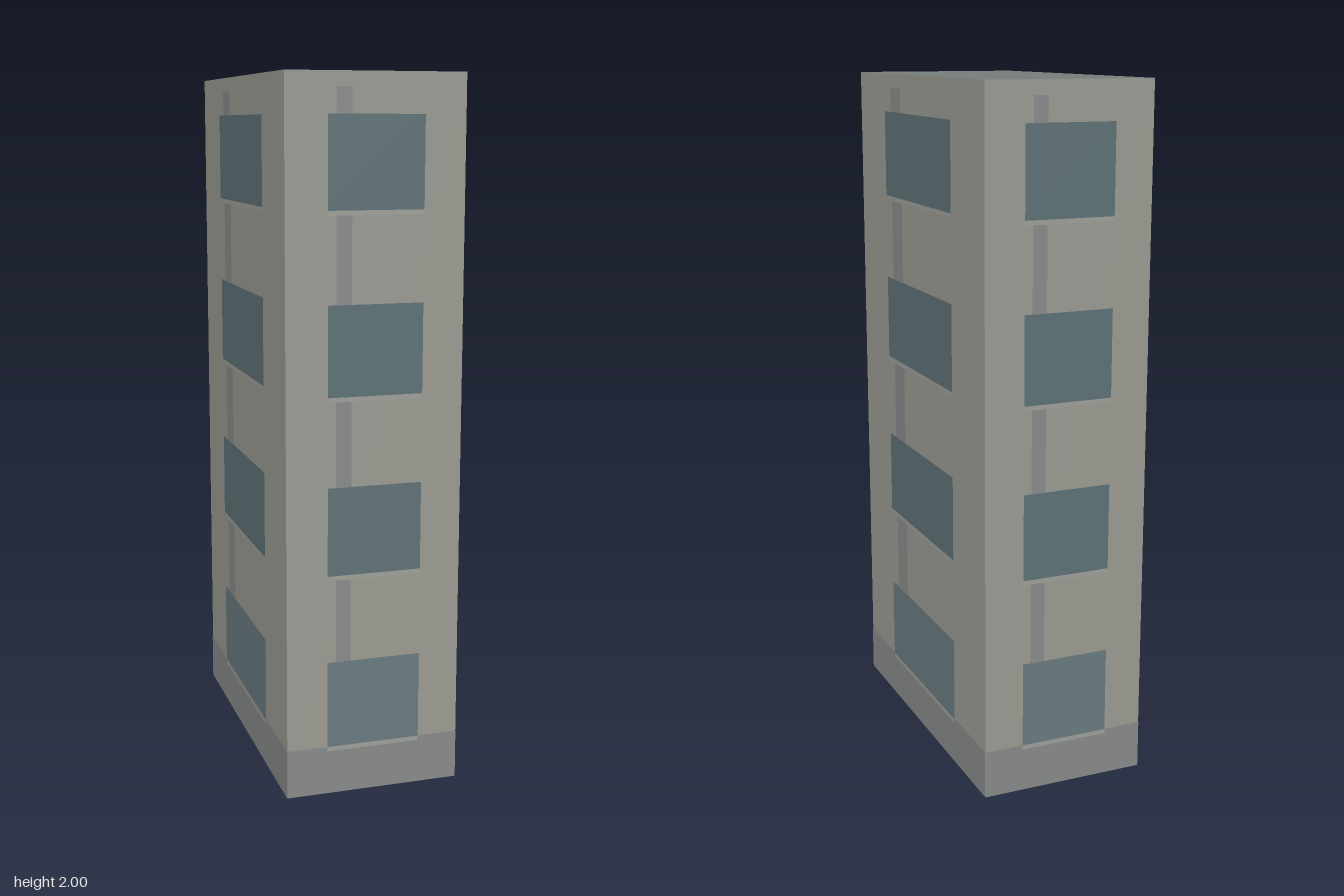
import * as THREE from 'three';

// slightly skewed footprint, [x, z], counter-clockwise from the front-left of the picture plane
const CORNERS = [[-0.25, 0.497], [0.255, 0.488], [0.233, -0.499], [-0.257, -0.49]];
const HEIGHT = 2, FLOORS = 4, FLOOR_HEIGHT = 0.5;

const paint = (color, side = THREE.FrontSide) =>
  new THREE.MeshStandardMaterial({ color, side, flatShading: true });

// four-cornered face, corners counter-clockwise as seen from outside
function quad(name, points, material) {
  const geometry = new THREE.BufferGeometry();
  geometry.setAttribute('position', new THREE.Float32BufferAttribute(points.flat(), 3));
  geometry.setIndex([0, 1, 2, 0, 2, 3]);
  geometry.computeVertexNormals();
  const mesh = new THREE.Mesh(geometry, material);
  mesh.name = name;
  return mesh;
}

export function createModel() {
  const model = new THREE.Group();
  model.name = 'towerBlock';
  const wallPaint = paint(0x9f9f97, THREE.DoubleSide);
  const roofPaint = paint(0x787e7b, THREE.DoubleSide);
  const basePaint = paint(0x8b8e8d);
  const stripPaint = paint(0x8d8f8e);
  const sillPaint = paint(0xa3a49d);
  const glassPaint = paint(0x61757b);
  const groundGlassPaint = paint(0x6b7e83);

  ['front', 'right', 'back', 'left'].forEach((sideName, i) => {
    const [ax, az] = CORNERS[i], [bx, bz] = CORNERS[(i + 1) % 4];
    const length = Math.hypot(bx - ax, bz - az);
    const nx = -(bz - az) / length, nz = (bx - ax) / length;
    const facade = new THREE.Group();
    facade.name = sideName + 'Facade';
    model.add(facade);

    // panel from fraction u0 to u1 along the wall, y0 to y1 high, lifted off the wall
    const panel = (name, u0, u1, y0, y1, lift, material) => {
      const at = (u, y) => [ax + (bx - ax) * u + nx * lift, y, az + (bz - az) * u + nz * lift];
      facade.add(quad(name, [at(u0, y0), at(u1, y0), at(u1, y1), at(u0, y1)], material));
    };

    panel('wall', 0, 1, 0, HEIGHT, 0, wallPaint);
    panel('base', 0, 1, 0, 0.14, 0.0015, basePaint);
    for (let f = 0; f < FLOORS; f++) {
      const y = f * FLOOR_HEIGHT;
      panel('window', 0.232, 0.768, y + 0.14, y + 0.39, 0.003, f ? glassPaint : groundGlassPaint);
      panel('windowSill', 0.232, 0.768, y + 0.127, y + 0.14, 0.003, sillPaint);
      // vertical strip running up to the next sill, or to just below the roof
      panel('verticalStrip', 0.28, 0.366, y + 0.39, y + (f < FLOORS - 1 ? 0.627 : 0.46), 0.0015, stripPaint);
    }
  });

  // flat roof; the underside of the shell stays open
  model.add(quad('roof', CORNERS.map(([x, z]) => [x, HEIGHT, z]), roofPaint));
  return model;
}
